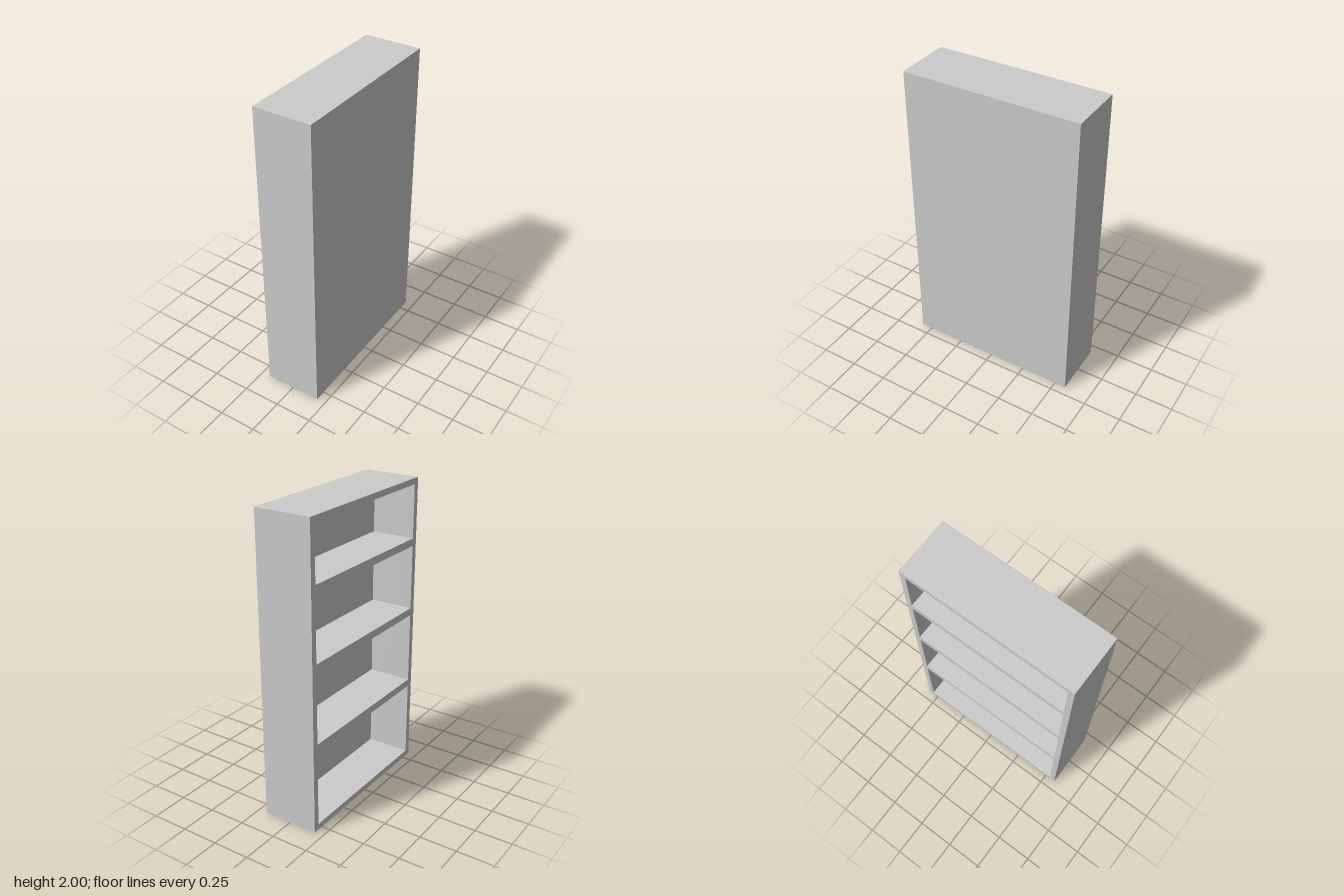
import * as THREE from 'three';

const W = 0.38, H = 2, D = 1.15; // overall x, y, z
const T = 0.04;                  // board thickness
const BACK = 0.085;              // back panel thickness
const SHELF = 0.05;              // shelf thickness

export function createModel() {
  const group = new THREE.Group();
  const material = new THREE.MeshStandardMaterial({ color: 0xcccccc, flatShading: true });

  const board = (name, w, h, d, x, y, z) => {
    const mesh = new THREE.Mesh(new THREE.BoxGeometry(w, h, d), material);
    mesh.name = name;
    mesh.position.set(x, y, z);
    group.add(mesh);
  };

  // Carcass, open towards -x
  const depth = W - BACK;
  const cx = -BACK / 2;
  const innerD = D - 2 * T;
  board('backPanel', BACK, H, D, W / 2 - BACK / 2, H / 2, 0);
  for (const s of [-1, 1]) {
    board(s > 0 ? 'frontSide' : 'rearSide', depth, H, T, cx, H / 2, s * (D - T) / 2);
  }
  board('topBoard', depth, T, innerD, cx, H - T / 2, 0);
  board('bottomBoard', depth, T, innerD, cx, T / 2, 0);

  // Shelves, placed by their top surface
  [0.605, 1.13, 1.61].forEach((top, i) =>
    board(`shelf${i + 1}`, depth, SHELF, innerD, cx, top - SHELF / 2, 0));

  return group;
}
